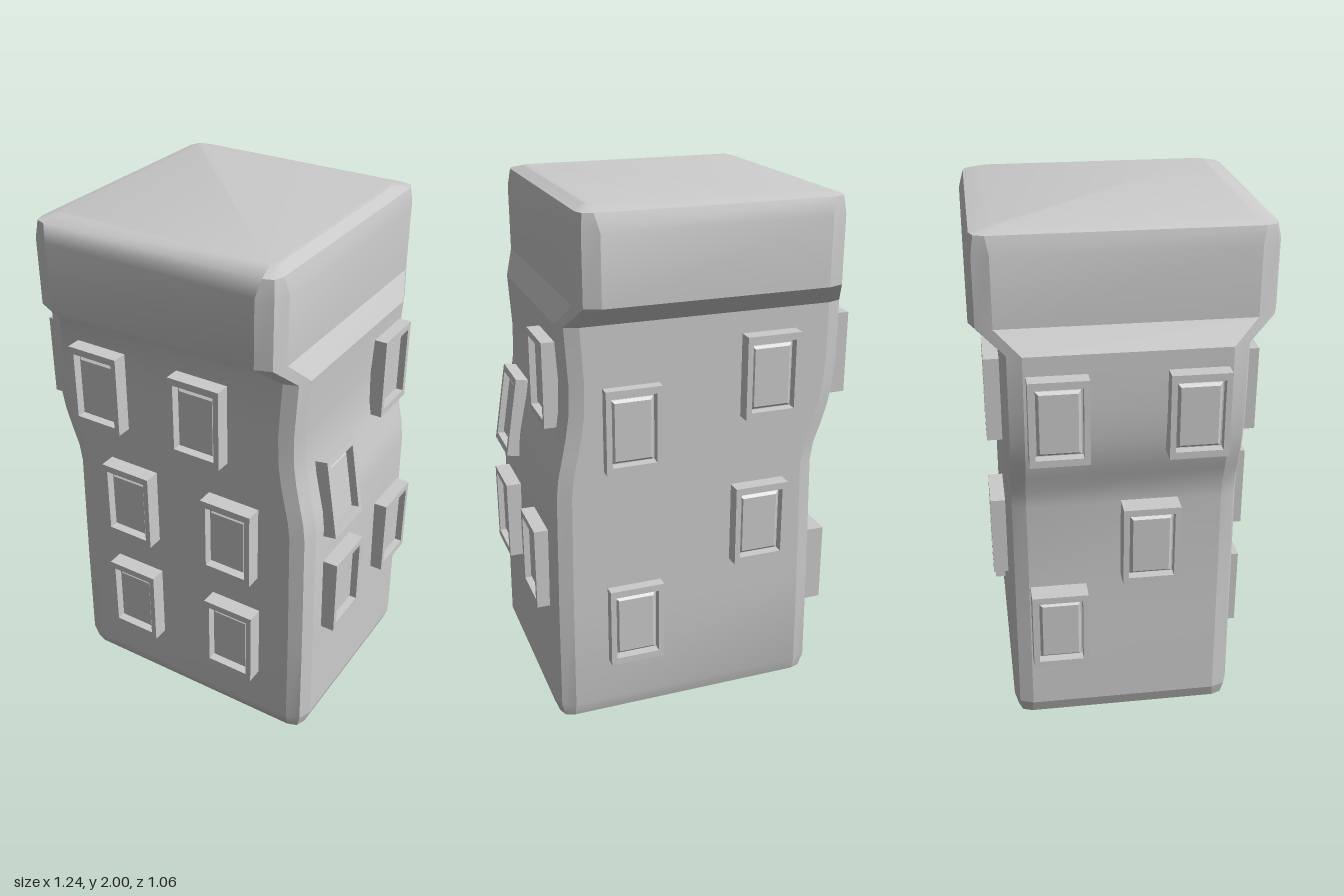
import * as THREE from 'three';
import { mergeVertices, toCreasedNormals } from 'three/addons/utils/BufferGeometryUtils.js';

const material = new THREE.MeshStandardMaterial({ color: 0xcccccc });

// Tower levels from the ground up: height, right edge -x, left edge +x, half depth, corner size
const LEVELS = [
  [0, -0.42, 0.495, 0.36, 0.02], [0.025, -0.475, 0.55, 0.415, 0.05], [0.08, -0.495, 0.57, 0.43, 0.07],
  [0.5, -0.49, 0.567, 0.43, 0.07], [0.96, -0.48, 0.56, 0.43, 0.07], [1.03, -0.49, 0.552, 0.43, 0.07],
  [1.1, -0.515, 0.537, 0.43, 0.07], [1.18, -0.54, 0.52, 0.43, 0.07], [1.26, -0.555, 0.508, 0.43, 0.07],
  [1.38, -0.565, 0.504, 0.43, 0.07], [1.585, -0.565, 0.516, 0.43, 0.07], [1.67, -0.52, 0.475, 0.53, 0.08],
  [1.92, -0.52, 0.475, 0.53, 0.08], [1.983, -0.505, 0.46, 0.512, 0.05], [2, -0.45, 0.415, 0.44, 0.02],
];

// Rectangle with two-step bevelled corners, three points per corner
function ring([y, x0, x1, z, r]) {
  const corner = (x, zz, sx, sz) => [
    [x - sx * r, y, zz], [x - sx * r * 0.27, y, zz - sz * r * 0.27], [x, y, zz - sz * r],
  ];
  return [
    ...corner(x1, z, 1, 1), ...corner(x1, -z, 1, -1).reverse(),
    ...corner(x0, -z, -1, -1), ...corner(x0, z, -1, 1).reverse(),
  ];
}

function geometryFrom(positions) {
  const geometry = new THREE.BufferGeometry();
  geometry.setAttribute('position', new THREE.Float32BufferAttribute(positions, 3));
  return geometry;
}

function createTower() {
  const rings = LEVELS.map(ring);
  const front = [], shell = [];
  for (let j = 0; j < rings.length - 1; j++) {
    for (let i = 0; i < 12; i++) {
      const k = (i + 1) % 12;
      const [a, b, c, d] = [rings[j][i], rings[j][k], rings[j + 1][k], rings[j + 1][i]];
      (i === 11 ? front : shell).push(...a, ...b, ...c, ...a, ...c, ...d);
    }
  }
  // Floor and roof
  const bottom = rings[0], top = rings[rings.length - 1];
  for (let i = 1; i < 11; i++) {
    shell.push(...bottom[0], ...bottom[i + 1], ...bottom[i]);
    shell.push(...top[0], ...top[i], ...top[i + 1]);
  }
  // The front wall is softly shaded; the other walls keep crisp bevels
  const frontGeometry = mergeVertices(geometryFrom(front));
  frontGeometry.computeVertexNormals();
  const frontWall = new THREE.Mesh(frontGeometry, material);
  frontWall.name = 'frontWall';
  const walls = new THREE.Mesh(toCreasedNormals(geometryFrom(shell), 0.3), material);
  walls.name = 'wallsAndRoof';
  const tower = new THREE.Group();
  tower.name = 'tower';
  tower.add(frontWall, walls);
  return tower;
}

// Window parts, with the outer face of the frame at z = 0
const DEPTH = 0.08;
function rectangle(Type, w, h) {
  return new Type([
    new THREE.Vector2(-w / 2, -h / 2), new THREE.Vector2(w / 2, -h / 2),
    new THREE.Vector2(w / 2, h / 2), new THREE.Vector2(-w / 2, h / 2),
  ]);
}
const frameShape = rectangle(THREE.Shape, 0.21, 0.315);
frameShape.holes.push(rectangle(THREE.Path, 0.168, 0.262));
const frameGeometry = new THREE.ExtrudeGeometry(frameShape, { depth: DEPTH, bevelEnabled: false });
frameGeometry.translate(0, 0, -DEPTH);
const backingGeometry = new THREE.BoxGeometry(0.17, 0.264, 0.04).translate(0, 0, -0.055);
const paneGeometry = new THREE.ExtrudeGeometry(rectangle(THREE.Shape, 0.135, 0.22), {
  depth: 0.01, bevelThickness: 0.01, bevelSize: 0.01, bevelSegments: 1,
}).translate(0, -0.006, -0.04);

function createWindow(name) {
  const group = new THREE.Group();
  group.name = name;
  const parts = { frame: frameGeometry, backing: backingGeometry, pane: paneGeometry };
  for (const [part, geometry] of Object.entries(parts)) {
    const mesh = new THREE.Mesh(geometry, material);
    mesh.name = part;
    group.add(mesh);
  }
  return group;
}

// Per wall: heading and windows as [x, y, z of outer face centre, tilt]
const WINDOWS = {
  frontWindow: [0, [
    [-0.31, 1.355, 0.488], [0.125, 1.355, 0.488], [-0.19, 0.885, 0.492],
    [0.255, 0.885, 0.492], [-0.185, 0.415, 0.492], [0.265, 0.415, 0.492],
  ]],
  backWindow: [Math.PI, [
    [-0.26, 1.345, -0.485], [0.265, 1.2, -0.47], [-0.23, 0.76, -0.485], [0.26, 0.41, -0.47],
  ]],
  leftWindow: [Math.PI / 2, [
    [0.56, 1.36, -0.24], [0.585, 1.085, 0.195, -0.16], [0.62, 0.645, 0.19], [0.615, 0.645, -0.24],
  ]],
  rightWindow: [-Math.PI / 2, [
    [-0.623, 1.357, -0.245], [-0.623, 1.357, 0.24], [-0.567, 0.815, 0.09], [-0.567, 0.465, -0.25],
  ]],
};

export function createModel() {
  const model = new THREE.Group();
  model.name = 'crookedTower';
  model.add(createTower());
  for (const [name, [heading, places]] of Object.entries(WINDOWS)) {
    for (const [x, y, z, tilt = 0] of places) {
      const win = createWindow(name);
      win.rotation.set(tilt, heading, 0, 'YXZ');
      win.position.set(x, y, z);
      model.add(win);
    }
  }
  return model;
}
